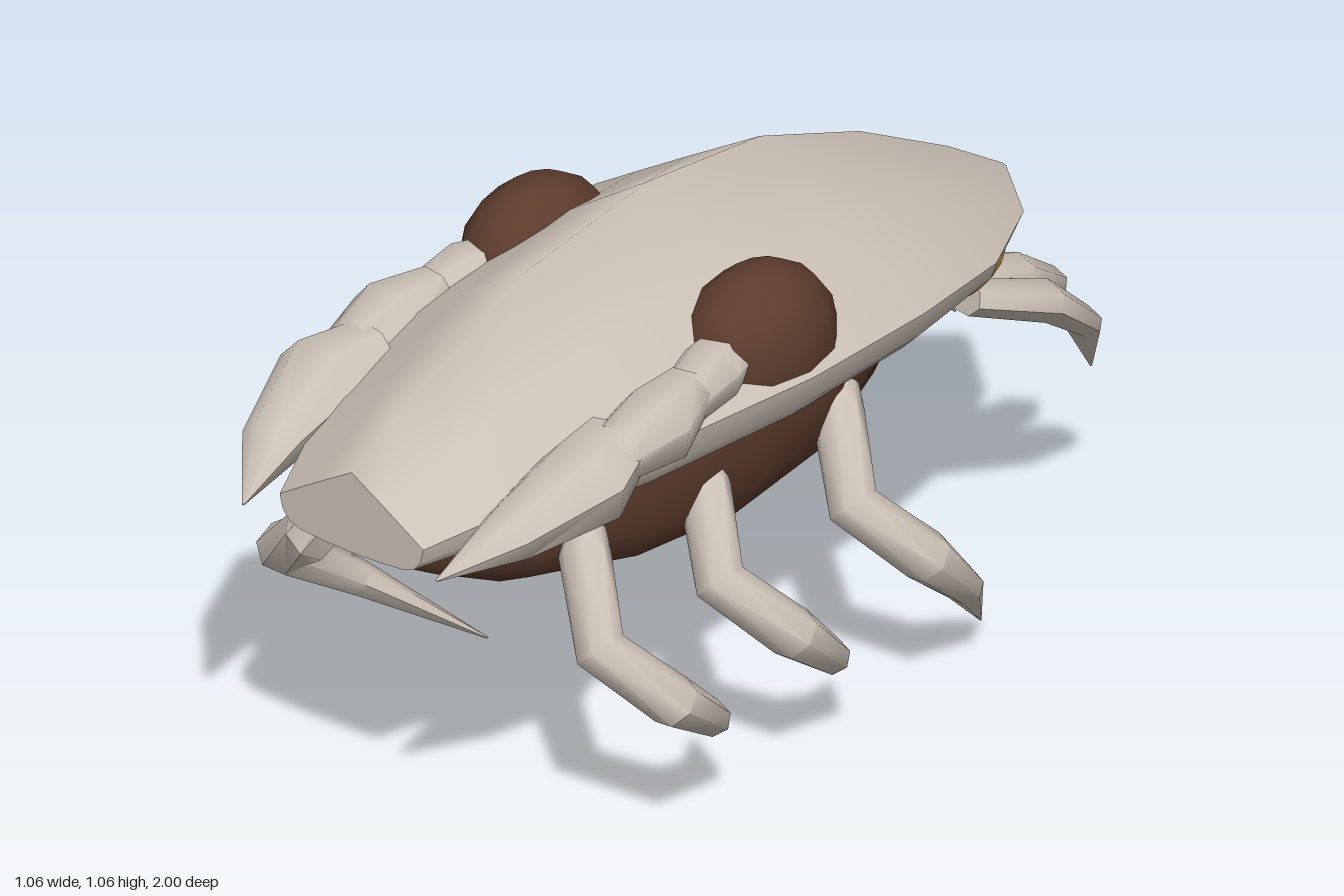
import * as THREE from 'three';
import { toCreasedNormals } from 'three/addons/utils/BufferGeometryUtils.js';

const mat = (name, color, side = THREE.FrontSide) => {
  const m = new THREE.MeshStandardMaterial({ color, side });
  m.name = name;
  return m;
};

// Skin a list of cross-sections, each a list of Vector3
function loft(sections, closed = false) {
  const n = sections[0].length, pos = [], idx = [];
  sections.flat().forEach(p => pos.push(p.x, p.y, p.z));
  for (let i = 0; i < sections.length - 1; i++) {
    for (let j = 0; j < (closed ? n : n - 1); j++) {
      const k = (j + 1) % n, a = i * n + j, b = i * n + k, c = a + n, d = b + n;
      idx.push(a, b, c, b, d, c);
    }
  }
  const g = new THREE.BufferGeometry();
  g.setAttribute('position', new THREE.Float32BufferAttribute(pos, 3));
  g.setIndex(idx);
  g.computeVertexNormals();
  return g;
}

// Flat fan closing a convex ring
function cap(ring) {
  const centre = new THREE.Vector3();
  ring.forEach(p => centre.addScaledVector(p, 1 / ring.length));
  return loft([ring, ring.map(() => centre)], true);
}

// Tapered limb through points [x, y, z, radius], widened sideways
function limb(points, wide, sides = 7) {
  const c = points.map(p => new THREE.Vector3(p[0], p[1], p[2]));
  const rings = c.map((p, i) => {
    const t = new THREE.Vector3();
    if (i > 0) t.add(p.clone().sub(c[i - 1]).normalize());
    if (i < c.length - 1) t.add(c[i + 1].clone().sub(p).normalize());
    t.normalize();
    const u = new THREE.Vector3(1, 0, 0).cross(t).normalize();
    const v = t.clone().cross(u);
    return Array.from({ length: sides }, (_, j) => {
      const a = (j / sides) * Math.PI * 2, r = points[i][3];
      return p.clone().addScaledVector(u, Math.cos(a) * r).addScaledVector(v, Math.sin(a) * r * wide);
    });
  });
  // Close the blunt root
  rings.unshift(rings[0].map(() => c[0].clone()));
  return toCreasedNormals(loft(rings, true), 0.95);
}

export function createModel() {
  const model = new THREE.Group();
  model.name = 'beetle';
  const shellMat = mat('paleShell', 0xcbc0b5, THREE.DoubleSide);
  const brownMat = mat('darkBrown', 0x5c3b2c, THREE.DoubleSide);
  const amberMat = mat('amber', 0xd6922f);
  const add = (name, geometry, material, parent = model) => {
    const mesh = new THREE.Mesh(geometry, material);
    mesh.name = name;
    parent.add(mesh);
    return mesh;
  };
  const V = (x, y, z) => new THREE.Vector3(x, y, z);

  // Shell stations: z, half width, ridge y, rim y, underside y
  const stations = [
    [0.965, 0.175, 0.80, 0.695, 0.63],
    [0.84, 0.225, 0.86, 0.72, 0.632],
    [0.72, 0.275, 0.91, 0.745, 0.638],
    [0.46, 0.355, 1.015, 0.775, 0.645],
    [0.1, 0.408, 1.06, 0.785, 0.655],
    [-0.23, 0.4, 1.02, 0.78, 0.66],
    [-0.52, 0.335, 0.91, 0.745, 0.662],
    [-0.78, 0.185, 0.77, 0.695, 0.664],
    [-0.94, 0.008, 0.668, 0.666, 0.664],
  ];
  const roof = stations.map(([z, w, top, rim]) =>
    [-1, -0.75, -0.45, 0, 0.45, 0.75, 1].map(t => {
      const f = Math.abs(t), bulge = 0.03 * f * (1 - f);
      return V(t * w, top + (rim - top) * (f - bulge), z);
    }));
  // Underside curls in from the rim: fraction of width, fraction of depth
  const curl = [[1, 0], [0.96, 0.45], [0.87, 0.75], [0.72, 0.9], [0.4, 0.97], [0, 1]];
  const fullCurl = [...curl, ...curl.slice(0, -1).reverse().map(([t, d]) => [-t, d])];
  const under = stations.map(([z, w, , rim, mid]) =>
    fullCurl.map(([t, d]) => V(t * w, rim + (mid - rim) * d, z)));
  add('shellRoof', loft(roof), shellMat);
  add('shellUnderside', loft(under), shellMat);
  add('shellFront', cap([...roof[0], ...under[0].slice(1, -1)].reverse()), shellMat);

  // Boat-shaped belly: z, half width, bottom y
  const belly = [
    [0.84, 0.006, 0.55], [0.785, 0.115, 0.52], [0.65, 0.207, 0.46], [0.4, 0.276, 0.41],
    [0.13, 0.295, 0.39], [-0.15, 0.268, 0.41], [-0.38, 0.185, 0.46], [-0.49, 0.1, 0.51],
    [-0.53, 0.006, 0.53],
  ].map(([z, w, y]) =>
    [[1, 0], [1, 0.2], [0.96, 0.5], [0.82, 0.77], [0.48, 0.94], [0, 1],
      [-0.48, 0.94], [-0.82, 0.77], [-0.96, 0.5], [-1, 0.2], [-1, 0]]
      .map(([t, d]) => V(t * w, 0.658 + (y - 0.658) * d, z)));
  add('belly', loft(belly), brownMat);

  for (const s of [1, -1]) {
    const side = new THREE.Group();
    side.name = s > 0 ? 'leftParts' : 'rightParts';
    model.add(side);
    const addLimb = (name, wide, pts) =>
      add(name, limb(pts.map(([x, y, z, r]) => [x * s, y, z, r]), wide), shellMat, side);

    // Eye bulging through the shell
    const eye = add('eye', new THREE.SphereGeometry(1, 12, 8), brownMat, side);
    eye.scale.set(0.132, 0.163, 0.183);
    eye.position.set(0.268 * s, 0.81, 0.1);

    // Amber spot tucked under the rear rim
    const spot = add('rimSpot', new THREE.SphereGeometry(1, 12, 8), amberMat, side);
    spot.scale.set(0.026, 0.022, 0.15);
    spot.position.set(0.275 * s, 0.698, -0.545);
    spot.rotation.set(-0.15, 0.42 * s, 0, 'YXZ');

    // Three walking legs, each further back and reaching slightly lower
    for (let i = 0; i < 3; i++) {
      const dz = [0, -0.35, -0.74][i], drop = i * 0.033, out = i * 0.037;
      addLimb('leg' + (i + 1), 1.1, [
        [0.235, 0.6, 0.56 + dz, 0.035],
        [0.255, 0.56, 0.59 + dz, 0.048],
        [0.355, 0.42, 0.665 + dz, 0.05],
        [0.475, 0.32, 0.59 + dz, 0.052],
        [0.43, 0.205 - drop * 0.4, 0.43 + dz, 0.036],
        [0.255 + out, 0.067 - drop, 0.26 + dz, 0.002],
      ]);
    }

    // Two trailing tail limbs
    addLimb('outerTailLimb', 1.5, [
      [0.25, 0.64, -0.53, 0.035], [0.3, 0.585, -0.69, 0.042],
      [0.25, 0.45, -0.87, 0.03], [0.165, 0.27, -1, 0.002],
    ]);
    addLimb('innerTailLimb', 1.5, [
      [0.18, 0.645, -0.53, 0.035], [0.215, 0.605, -0.71, 0.04],
      [0.16, 0.5, -0.88, 0.028], [0.085, 0.37, -1, 0.002],
    ]);

    // Segmented front claw resting along the rim
    addLimb('clawBase', 1.1, [
      [0.28, 0.83, 0.2, 0.055], [0.3, 0.83, 0.28, 0.064], [0.32, 0.81, 0.42, 0.045],
    ]);
    addLimb('clawMiddle', 1.1, [
      [0.305, 0.825, 0.35, 0.052], [0.325, 0.805, 0.47, 0.078], [0.32, 0.785, 0.62, 0.05],
    ]);
    addLimb('clawTip', 1.2, [
      [0.29, 0.785, 0.55, 0.066], [0.318, 0.765, 0.67, 0.085],
      [0.287, 0.72, 0.85, 0.053], [0.235, 0.665, 1, 0.002],
    ]);
  }
  return model;
}
